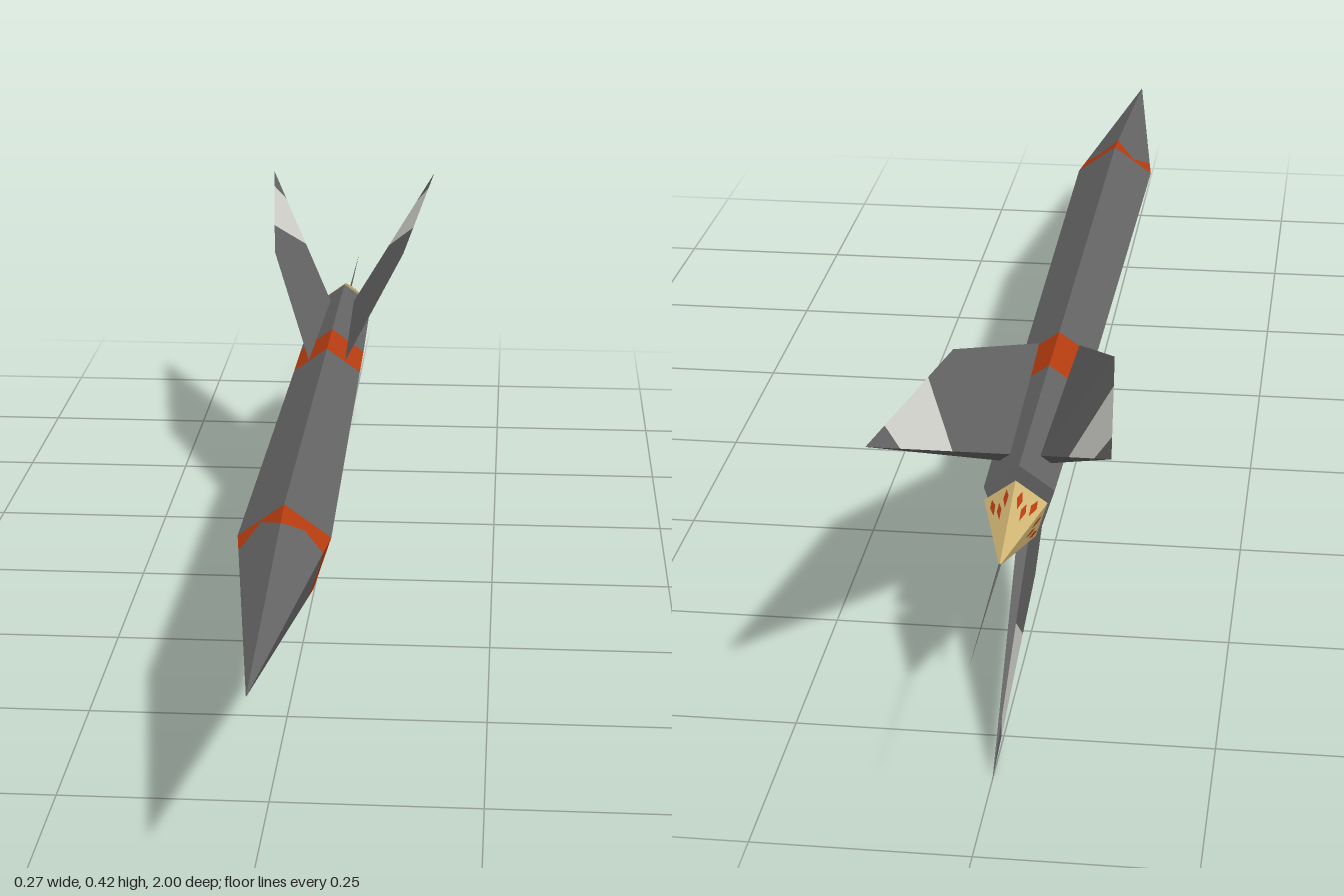
import * as THREE from 'three';

const V = (x, y, z) => new THREE.Vector3(x, y, z);
const mix = (a, b, t) => a.clone().lerp(b, t);

function material(name, color) {
  const m = new THREE.MeshStandardMaterial({ color });
  m.name = name;
  return m;
}

// Flat-faced mesh from convex polygons, each fanned into triangles
function facets(name, mat, polygons) {
  const pos = [];
  for (const p of polygons)
    for (let i = 1; i < p.length - 1; i++)
      for (const v of [p[0], p[i], p[i + 1]]) pos.push(v.x, v.y, v.z);
  const geo = new THREE.BufferGeometry();
  geo.setAttribute('position', new THREE.Float32BufferAttribute(pos, 3));
  geo.computeVertexNormals();
  const mesh = new THREE.Mesh(geo, mat);
  mesh.name = name;
  return mesh;
}

// Five-sided ring with one corner on top, counter-clockwise from the front
const SIDES = 5;
const BOTTOM = 2;
function ring(z, r, y) {
  return Array.from({ length: SIDES }, (_, k) => {
    const a = Math.PI / 2 + (k * 2 * Math.PI) / SIDES;
    return V(r * Math.cos(a), y + r * Math.sin(a), z);
  });
}
const quad = (a, b, k) => {
  const n = (k + 1) % SIDES;
  return [a[k], b[k], b[n], a[n]];
};

export function createModel() {
  const grey = material('dark grey', 0x646464);
  const red = material('rust red', 0xb53c10);
  const pale = material('pale grey', 0xd2d2cd);
  const gold = material('flame gold', 0xcfb473);

  const model = new THREE.Group();
  model.name = 'rocket';
  const faces = [0, 1, 2, 3, 4];

  // Tapered body with a painted band on all faces but the bottom
  const shoulder = ring(0.53, 0.06, 0.232);
  const bandFront = ring(-0.2, 0.051, 0.235);
  const bandRear = ring(-0.31, 0.05, 0.236);
  const tail = ring(-0.6, 0.045, 0.238);
  const bodyGrey = [];
  const bodyRed = [];
  for (const k of faces) {
    bodyGrey.push(quad(shoulder, bandFront, k), quad(bandRear, tail, k));
    (k === BOTTOM ? bodyGrey : bodyRed).push(quad(bandFront, bandRear, k));
  }
  bodyGrey.push([...tail].reverse());
  model.add(facets('body', grey, bodyGrey), facets('bodyBand', red, bodyRed));

  // Nose cone with a notched collar; the notch is deeper on the right side
  const tip = V(0, 0.238, 1);
  const noseGrey = [];
  const noseRed = [];
  for (const k of faces) {
    const a = shoulder[k];
    const b = shoulder[(k + 1) % SIDES];
    const a1 = mix(a, tip, 0.11);
    const b1 = mix(b, tip, 0.11);
    const m0 = mix(a, b, 0.5);
    const m = mix(m0, tip, k < BOTTOM ? 0.015 : 0.06);
    noseRed.push([a, m0, m, a1], [m0, b, b1, m]);
    noseGrey.push([a1, m, tip], [m, b1, tip]);
  }
  model.add(facets('noseCone', grey, noseGrey), facets('noseCollar', red, noseRed));

  // Wedge fins: sharp leading edge, thick at the rear of the root
  function makeFin(name, angle) {
    const lead = V(0, -0.046, -0.2);
    const elbow = V(0, -0.17, -0.46);
    const end = V(0, -0.23, -0.845);
    const rear = [1, -1].map((s) => V(s * 0.008, -0.04, -0.54));
    const panels = [
      [end, rear[1], rear[0]],
      [lead, rear[0], rear[1]],
    ];
    const patches = [];
    rear.forEach((r, i) => {
      const l1 = mix(elbow, end, 0.31);
      const l2 = mix(elbow, end, 0.8);
      const t1 = mix(r, end, 0.43);
      const t2 = mix(r, end, 0.78);
      const wind = (p) => (i ? p.reverse() : p);
      panels.push(wind([lead, elbow, r]), wind([elbow, l1, t1, r]), wind([l2, end, t2]));
      patches.push(wind([l1, l2, t2, t1]));
    });
    const fin = new THREE.Group();
    fin.name = name;
    fin.add(facets('finPanel', grey, panels), facets('finPatch', pale, patches));
    fin.position.y = 0.231;
    fin.rotation.z = angle;
    model.add(fin);
  }
  makeFin('bottomFin', 0);
  makeFin('leftFin', Math.PI * 0.8);
  makeFin('rightFin', -Math.PI * 0.8);

  // Floating exhaust flame with thin red flecks on its sides
  const base = ring(-0.63, 0.04, 0.238);
  const flameEnd = V(0, 0.238, -0.77);
  const flame = [base];
  const flecks = [];
  for (const k of faces) {
    const a = base[k];
    const b = base[(k + 1) % SIDES];
    flame.push([a, flameEnd, b]);
    if (k === BOTTOM) continue;
    const out = mix(a, b, 0.5).sub(V(0, 0.238, -0.63)).setLength(0.001);
    const at = (u, t) => mix(mix(a, b, u), flameEnd, t).add(out);
    for (const [u, t] of [[0.15, 0.18], [0.4, 0.28], [0.65, 0.16]])
      flecks.push([at(u, t), at(u + 0.1, t + 0.13), at(u + 0.2, t), at(u + 0.1, t - 0.1)]);
  }
  model.add(facets('flame', gold, flame), facets('flameFlecks', red, flecks));

  // Hair-thin trail behind the flame
  const trail = new THREE.Mesh(new THREE.ConeGeometry(0.0015, 0.25, 4), grey);
  trail.name = 'trail';
  trail.rotation.x = -Math.PI / 2;
  trail.position.set(0, 0.238, -0.875);
  model.add(trail);

  return model;
}
